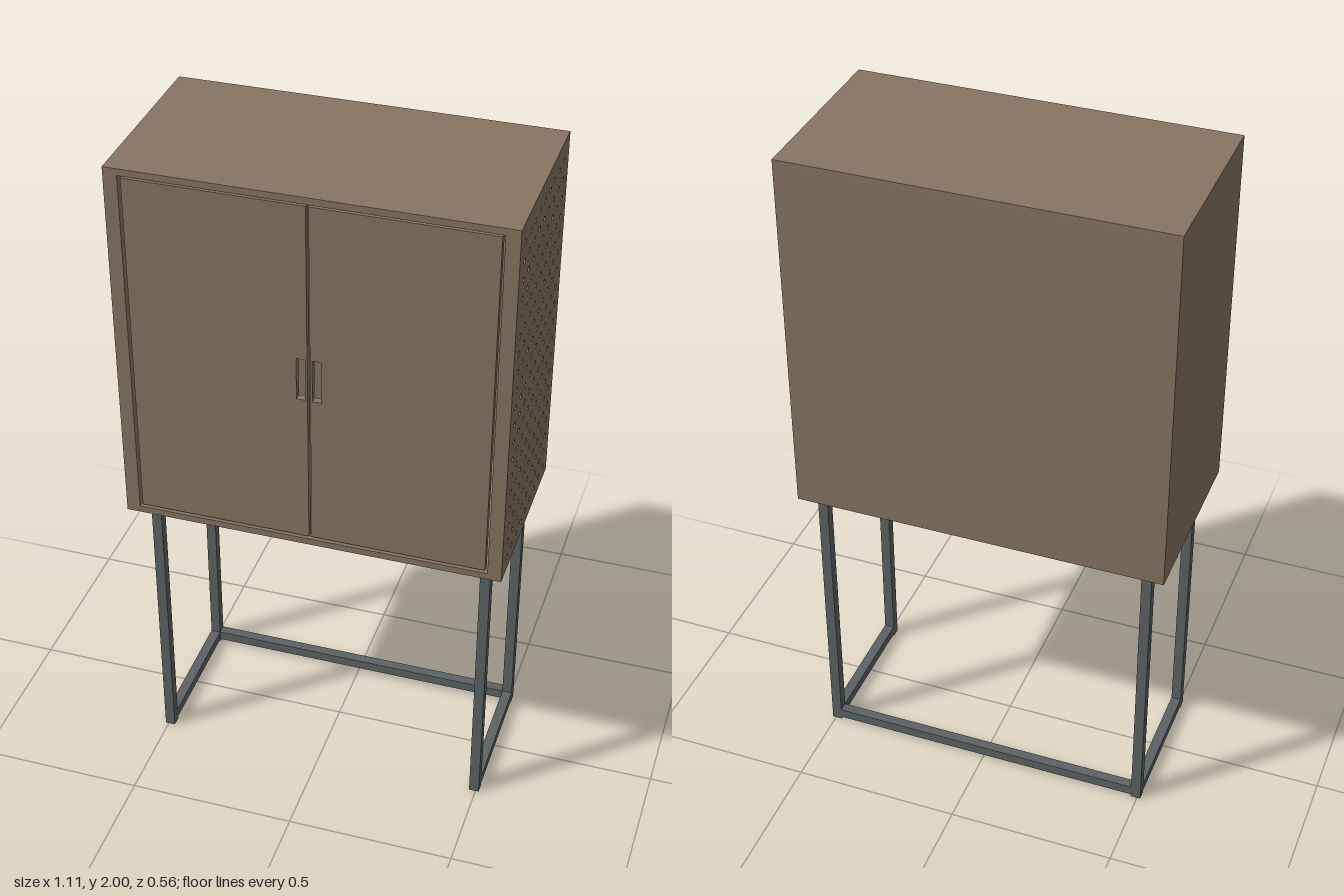
import * as THREE from 'three';

const brown = new THREE.MeshStandardMaterial({ color: 0x877561 });
brown.name = 'taupe lacquer';
const steel = new THREE.MeshStandardMaterial({ color: 0x5c6264 });
steel.name = 'grey steel';

const W = 0.555, D = 0.278, BASE = 0.89, TOP = 2;   // half width, half depth, heights
const SIDE = 0.04, PANEL = 0.02;

// box given by its minimum and maximum corners
function box(parent, name, mat, [x0, y0, z0], [x1, y1, z1]) {
  const mesh = new THREE.Mesh(new THREE.BoxGeometry(x1 - x0, y1 - y0, z1 - z0), mat);
  mesh.position.set((x0 + x1) / 2, (y0 + y1) / 2, (z0 + z1) / 2);
  mesh.name = name;
  parent.add(mesh);
  return mesh;
}

function rectangle(Type, x0, y0, x1, y1) {
  const s = new Type();
  s.moveTo(x0, y0);
  s.lineTo(x1, y0);
  s.lineTo(x1, y1);
  s.lineTo(x0, y1);
  s.closePath();
  return s;
}

// side panel pierced by a regular grid of round holes
function perforatedSide() {
  const shape = rectangle(THREE.Shape, -D, BASE, D, TOP);
  for (let row = 0; row < 19; row++) {
    for (let col = 0; col < 9; col++) {
      const hole = new THREE.Path();
      hole.absarc((col - 4) * 0.0556, 0.937 + row * 0.0557, 0.008, 0, Math.PI * 2, true);
      shape.holes.push(hole);
    }
  }
  const geo = new THREE.ExtrudeGeometry(shape, { depth: SIDE, bevelEnabled: false, curveSegments: 10 });
  geo.rotateY(Math.PI / 2);
  geo.translate(W - SIDE, 0, 0);
  const mesh = new THREE.Mesh(geo, brown);
  mesh.name = 'perforatedSide';
  return mesh;
}

// flush door with a slot for the fingers beside the middle gap
function door(side) {
  const [a, b] = side > 0 ? [0.004, 0.507] : [-0.507, -0.004];
  const [c, d] = side > 0 ? [0.01, 0.035] : [-0.035, -0.01];
  const shape = rectangle(THREE.Shape, a, BASE + 0.027, b, TOP - 0.027);
  shape.holes.push(rectangle(THREE.Path, c, 1.38, d, 1.51));
  const geo = new THREE.ExtrudeGeometry(shape, { depth: 0.02, bevelEnabled: false });
  geo.translate(0, 0, D - 0.023);
  const mesh = new THREE.Mesh(geo, brown);
  mesh.name = side > 0 ? 'leftDoor' : 'rightDoor';
  return mesh;
}

export function createModel() {
  const model = new THREE.Group();
  model.name = 'cabinetOnStand';

  // cabinet carcass
  const cabinet = new THREE.Group();
  cabinet.name = 'cabinet';
  const inner = W - SIDE;
  cabinet.add(perforatedSide());
  box(cabinet, 'plainSide', brown, [-W, BASE, -D], [-inner, TOP, D]);
  box(cabinet, 'topPanel', brown, [-inner, TOP - PANEL, -D], [inner, TOP, D]);
  box(cabinet, 'bottomPanel', brown, [-inner, BASE, -D], [inner, BASE + PANEL, D]);
  box(cabinet, 'backPanel', brown, [-inner, BASE + PANEL, -D], [inner, TOP - PANEL, -D + PANEL]);
  for (const side of [-1, 1]) cabinet.add(door(side));
  model.add(cabinet);

  // square tube stand, open along the floor at the front
  const stand = new THREE.Group();
  stand.name = 'stand';
  const X = 0.51, T = 0.03, ZF = 0.21, ZB = -0.24;
  for (const x of [-X, X - T]) {
    box(stand, 'frontLeg', steel, [x, 0, ZF - T], [x + T, BASE, ZF]);
    box(stand, 'backLeg', steel, [x, 0, ZB], [x + T, BASE, ZB + T]);
    box(stand, 'sideFloorRail', steel, [x, 0.008, ZB + T], [x + T, 0.038, ZF - T]);
    box(stand, 'sideTopRail', steel, [x, BASE - T, ZB + T], [x + T, BASE, ZF - T]);
  }
  box(stand, 'backFloorRail', steel, [-X + T, 0.008, ZB], [X - T, 0.038, ZB + T]);
  box(stand, 'backTopRail', steel, [-X + T, BASE - T, ZB], [X - T, BASE, ZB + T]);
  box(stand, 'frontTopRail', steel, [-X + T, BASE - T, ZF - T], [X - T, BASE, ZF]);
  model.add(stand);

  return model;
}
